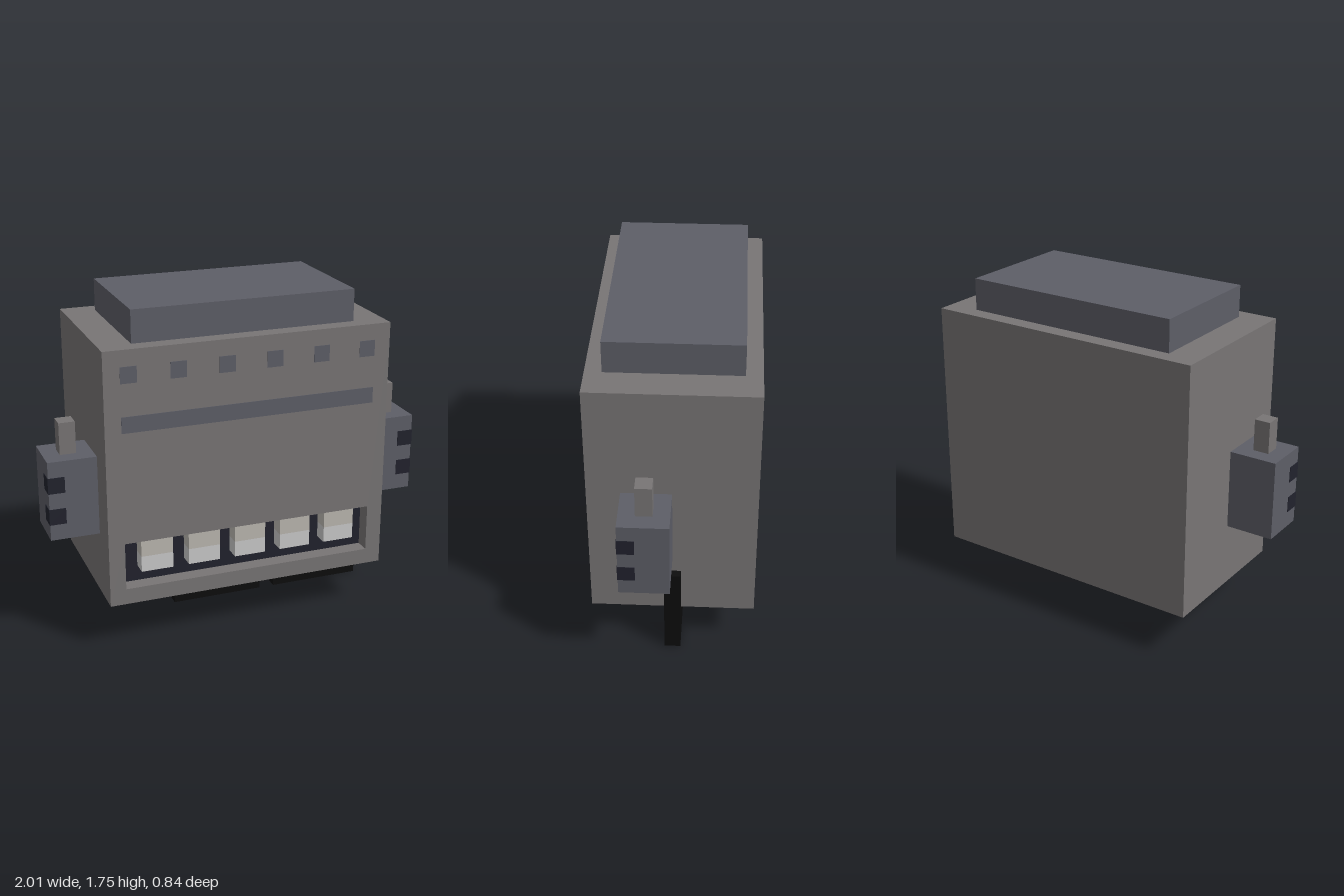
import * as THREE from 'three';

const U = 1 / 12; // one block unit

const mat = (name, color) => {
  const m = new THREE.MeshStandardMaterial({ color });
  m.name = name;
  return m;
};

export function createModel() {
  const grey = mat('warm grey', 0x787575);
  const slate = mat('slate', 0x5d5e67);
  const navy = mat('dark navy', 0x21222d);
  const beige = mat('beige', 0xbcb8b1);
  const light = mat('light grey', 0xcacaca);
  const black = mat('black', 0x0c0c0c);

  const model = new THREE.Group();
  model.name = 'blockCreature';

  // Box from minimum and maximum corners, in block units
  const box = (name, material, x0, x1, y0, y1, z0, z1, parent = model) => {
    const geo = new THREE.BoxGeometry((x1 - x0) * U, (y1 - y0) * U, (z1 - z0) * U);
    const mesh = new THREE.Mesh(geo, material);
    mesh.position.set((x0 + x1) / 2 * U, (y0 + y1) / 2 * U, (z0 + z1) / 2 * U);
    mesh.name = name;
    parent.add(mesh);
    return mesh;
  };
  const rectangle = (path, x0, x1, y0, y1) => path
    .moveTo(x0 * U, y0 * U).lineTo(x1 * U, y0 * U)
    .lineTo(x1 * U, y1 * U).lineTo(x0 * U, y1 * U).closePath();

  // Body: solid block and a front layer with the mouth cut out
  box('body', grey, -9, 9, 3, 19, -5, 4);
  const face = rectangle(new THREE.Shape(), -9, 9, 3, 19);
  face.holes.push(rectangle(new THREE.Path(), -8, 8, 4, 7));
  const front = new THREE.Mesh(
    new THREE.ExtrudeGeometry(face, { depth: U, bevelEnabled: false }), grey);
  front.position.z = 4 * U;
  front.name = 'bodyFront';
  model.add(front);
  box('lid', slate, -7, 7, 19, 21, -4, 4);

  // Mouth lining and teeth
  box('mouthBack', navy, -8, 8, 4, 7, 3.96, 4.04);
  for (let x = -7; x <= 5; x += 3) {
    box('toothRoot', beige, x, x + 2, 6, 7, 4, 5);
    box('toothTip', light, x, x + 2, 5, 6, 4, 5);
  }

  // Painted stripe and rivets
  box('stripe', slate, -8, 8, 14, 15, 4.97, 5.03);
  for (let x = -8; x <= 7; x += 3) box('rivet', slate, x, x + 1, 17, 18, 4.97, 5.03);

  // Side arms, each with a knob and two dark corner slots
  for (const side of [1, -1]) {
    const arm = new THREE.Group();
    arm.name = side > 0 ? 'leftArm' : 'rightArm';
    model.add(arm);
    const part = (name, m, a, b, ...rest) =>
      box(name, m, Math.min(a * side, b * side), Math.max(a * side, b * side), ...rest, arm);
    part('armBlock', slate, 9, 12, 7, 12, 0, 3);
    part('knob', grey, 10, 11, 12, 14, 1, 2);
    for (const y of [8, 10]) part('slot', navy, 11, 12.03, y, y + 1, 2, 3.03);
  }

  // Thin lower jaw: black frames holding pale blocks
  for (const x of [-3.5, 3.5]) {
    box('jawBase', black, x, x + 6, 0, 1, -0.5, 0.5);
    box('jawEdge', black, x, x + 1, 1, 3, -0.5, 0.5);
    box('jawTooth', light, x + 1, x + 3, 1, 3, -0.5, 0.5);
    box('jawFill', black, x + 3, x + 6, 1, 3, -0.5, 0.5);
  }
  box('jawUpright', black, 8.5, 9.5, 3, 6, -0.5, 0.5);
  box('jawLink', black, -4.5, -3.5, 2.97, 3.1, -0.5, 0.5);
  box('jawPeg', black, -6.5, -5.5, 1, 3, -0.5, 0.5);

  return model;
}
